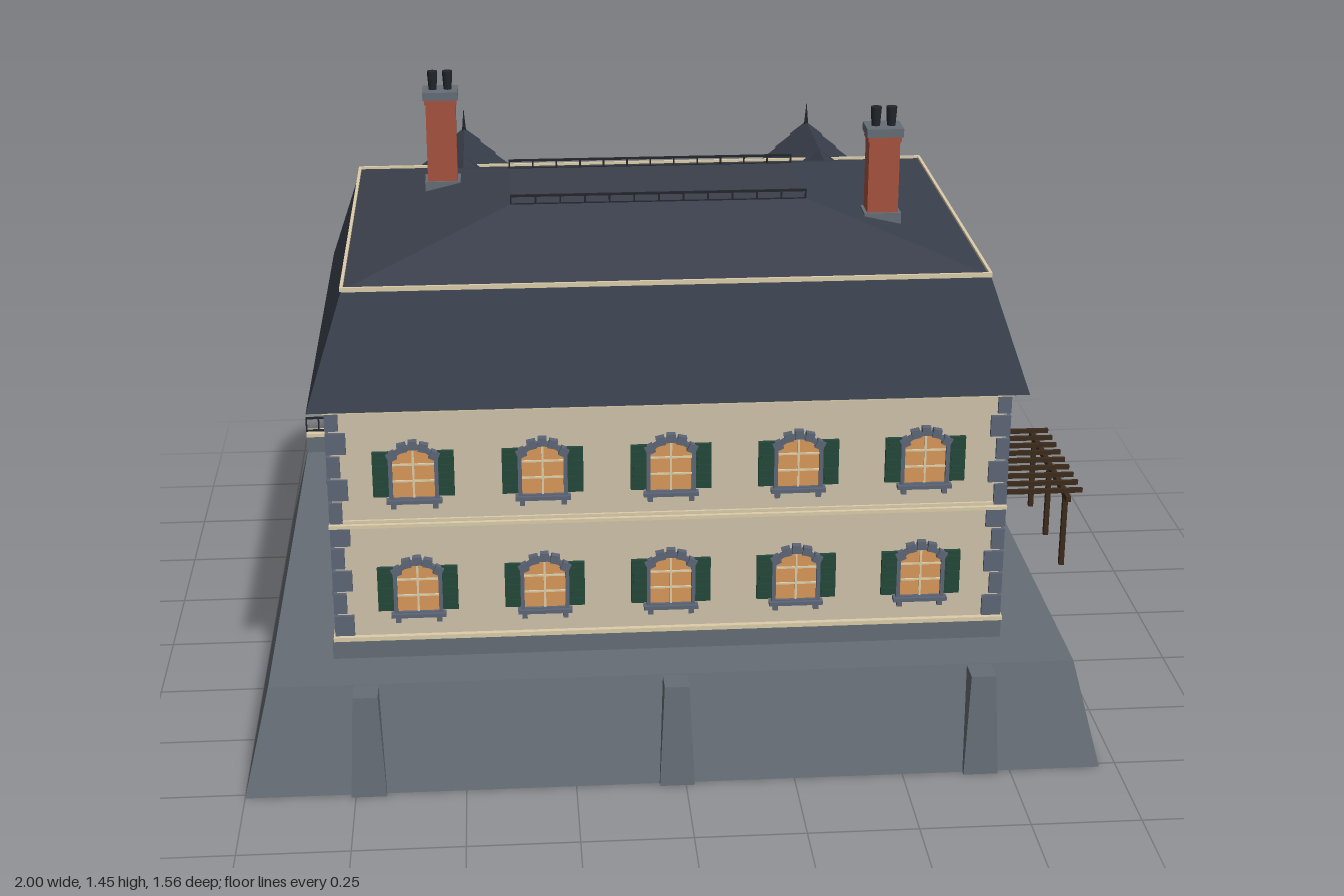
import * as THREE from 'three';

const mat = (name, color) => Object.assign(new THREE.MeshStandardMaterial({ color }), { name });
const stone = mat('stone', 0x666d75), slate = mat('slate', 0x3a404c), plaster = mat('plaster', 0xcfc2aa);
const trim = mat('cream trim', 0xdccdaa), brick = mat('brick', 0xa5523f), green = mat('shutter green', 0x24483a);
const glass = mat('lit glass', 0xd8985a), timber = mat('dark timber', 0x3c2a1c), iron = mat('iron', 0x22262b);
const quoinStone = mat('blue stone', 0x5d6577);

const CX = -0.02; // middle of the house

function add(parent, name, geometry, material, x = 0, y = 0, z = 0) {
  const m = new THREE.Mesh(geometry, material);
  m.name = name;
  m.position.set(x, y, z);
  parent.add(m);
  return m;
}
const box = (parent, name, material, w, h, d, x, y, z) =>
  add(parent, name, new THREE.BoxGeometry(w, h, d), material, x, y, z);
// box given by its limits
const span = (parent, name, material, x0, x1, y0, y1, z0, z1) =>
  box(parent, name, material, x1 - x0, y1 - y0, z1 - z0, (x0 + x1) / 2, (y0 + y1) / 2, (z0 + z1) / 2);

// solid from stacked rectangles [y, x0, x1, z0, z1]
function stacked(levels) {
  const loops = levels.map(([y, x0, x1, z0, z1]) => [[x0, y, z1], [x1, y, z1], [x1, y, z0], [x0, y, z0]]);
  const p = [];
  const quad = (a, b, c, d) => p.push(...a, ...b, ...c, ...a, ...c, ...d);
  for (let l = 0; l + 1 < loops.length; l++) {
    for (let i = 0; i < 4; i++) {
      const j = (i + 1) % 4;
      quad(loops[l][i], loops[l][j], loops[l + 1][j], loops[l + 1][i]);
    }
  }
  quad(...loops[loops.length - 1]);
  quad(...[...loops[0]].reverse());
  const g = new THREE.BufferGeometry();
  g.setAttribute('position', new THREE.Float32BufferAttribute(p, 3));
  g.computeVertexNormals();
  return g;
}
const polygon = (pts) => new THREE.Shape(pts.map(([x, y]) => new THREE.Vector2(x, y)));
const extrude = (shape, depth) => new THREE.ExtrudeGeometry(shape, { depth, bevelEnabled: false, curveSegments: 6 });

function archShape(half, bottom, spring, top) {
  const s = new THREE.Shape();
  s.moveTo(-half, bottom);
  s.lineTo(half, bottom);
  s.lineTo(half, spring);
  s.quadraticCurveTo(0, 2 * top - spring, -half, spring);
  return s;
}

// shuttered arched window on a wall; y is the bottom of the panes
function addWindow(parent, x, y, z, turn, shutters = true) {
  const g = new THREE.Group();
  g.name = 'window';
  g.position.set(x, y, z);
  g.rotation.y = turn;
  parent.add(g);
  const surround = archShape(0.056, -0.004, 0.1, 0.128);
  surround.holes.push(archShape(0.047, 0, 0.094, 0.118));
  add(g, 'surround', extrude(surround, 0.012), quoinStone);
  add(g, 'panes', extrude(archShape(0.049, -0.002, 0.096, 0.12), 0.004), glass);
  box(g, 'mullion', trim, 0.005, 0.118, 0.004, 0, 0.059, 0.006);
  for (const h of [0.04, 0.08]) box(g, 'glazingBar', trim, 0.096, 0.004, 0.004, 0, h, 0.006);
  box(g, 'sill', quoinStone, 0.125, 0.009, 0.02, 0, -0.007, 0.01);
  for (let i = -2; i <= 2; i++) {
    const v = box(g, 'archStone', quoinStone, 0.02, 0.02, 0.017, i * 0.024, 0.129 - i * i * 0.0065, 0.008);
    v.rotation.z = -i * 0.22;
  }
  for (const s of [-1, 1]) {
    box(g, 'bracket', quoinStone, 0.012, 0.015, 0.012, s * 0.047, -0.019, 0.006);
    if (!shutters) continue;
    box(g, 'shutter', green, 0.037, 0.108, 0.01, s * 0.073, 0.058, 0.006);
    for (let k = 0; k < 5; k++) box(g, 'shutterSlat', green, 0.026, 0.008, 0.003, s * 0.073, 0.02 + k * 0.019, 0.012);
  }
}

// iron railing running along x
function addRailing(parent, x0, x1, y, z, h, n) {
  for (const f of [0.15, 1]) span(parent, 'rail', iron, x0, x1, y + h * f - 0.005, y + h * f, z - 0.003, z + 0.003);
  for (let i = 0; i <= n; i++) box(parent, 'baluster', iron, 0.004, h, 0.004, x0 + (x1 - x0) * i / n, y + h / 2, z);
}

// gabled rear wing
function addWing(root, cx) {
  const g = new THREE.Group();
  g.name = 'rearWing';
  g.position.x = cx;
  root.add(g);
  add(g, 'wingWalls', extrude(polygon([[-0.28, 0.29], [0.28, 0.29], [0.28, 0.88], [0, 1.13], [-0.28, 0.88]]), 0.24), plaster, 0, 0, -0.64);
  span(g, 'wingPlinth', stone, -0.29, 0.29, 0.245, 0.29, -0.65, -0.4);
  for (const [y, h] of [[0.294, 0.01], [0.576, 0.008], [0.587, 0.006], [0.86, 0.014]])
    box(g, 'wingBand', trim, 0.574, h, 0.22, 0, y, -0.537);
  add(g, 'gableRoof', extrude(polygon([[-0.315, 0.865], [-0.29, 0.865], [0, 1.128], [0.29, 0.865], [0.315, 0.865], [0, 1.152]]), 0.4), slate, 0, 0, -0.705);
  const slope = Math.atan2(0.287, 0.315), len = Math.hypot(0.287, 0.315);
  for (const s of [-1, 1]) {
    for (let k = 0; k < 8; k++) {
      const t = (k + 0.5) / 8;
      const c = box(g, 'slateCourse', slate, len / 8, 0.006, 0.27, s * 0.315 * (1 - t), 0.865 + 0.287 * t, -0.57);
      c.rotation.z = -s * (slope - 0.08);
    }
    const barge = box(g, 'bargeBoard', timber, len - 0.02, 0.02, 0.008, s * 0.15, 0.998, -0.702);
    barge.rotation.z = -s * slope;
    const brace = box(g, 'gableBrace', timber, 0.17, 0.014, 0.012, s * 0.075, 0.93, -0.643);
    brace.rotation.z = -s * 0.65;
    for (const y of [0.36, 0.645]) addWindow(g, s * 0.15, y, -0.64, Math.PI);
  }
  box(g, 'gableTieBeam', timber, 0.56, 0.018, 0.014, 0, 0.878, -0.643);
  box(g, 'gableCollar', timber, 0.3, 0.016, 0.014, 0, 0.985, -0.643);
  box(g, 'kingPost', timber, 0.018, 0.25, 0.014, 0, 0.995, -0.643);
  add(g, 'finial', new THREE.ConeGeometry(0.007, 0.07, 6), iron, 0, 1.175, -0.695);
}

function addChimney(root, x, z, top) {
  span(root, 'chimneyFlashing', stone, x - 0.043, x + 0.043, 1.12, 1.185, z - 0.034, z + 0.034);
  span(root, 'chimneyStack', brick, x - 0.036, x + 0.036, 1.13, top - 0.02, z - 0.028, z + 0.028);
  box(root, 'chimneyCap', stone, 0.085, 0.02, 0.075, x, top - 0.012, z);
  box(root, 'chimneyCollar', brick, 0.078, 0.012, 0.065, x, top - 0.028, z);
  for (const s of [-1, 1])
    add(root, 'chimneyPot', new THREE.CylinderGeometry(0.013, 0.01, 0.045, 10), iron, x + s * 0.018, top + 0.02, z);
}

export function createModel() {
  const root = new THREE.Group();
  root.name = 'manorHouse';

  // battered base with buttresses
  add(root, 'base', stacked([[0, -1, 0.96, -0.75, 0.765], [0.245, -0.94, 0.9, -0.7, 0.7]]), stone);
  for (const [s, xs] of [[1, [-0.7, 0, 0.7]], [-1, [-0.7, 0.7]]]) for (const dx of xs) {
    const x = CX + dx, z = (a, b) => (s > 0 ? [a, b] : [-b + 0.018, -a]);
    add(root, 'buttress', stacked([[0, x - 0.04, x + 0.04, ...z(0.6, 0.778)], [0.243, x - 0.028, x + 0.028, ...z(0.6, 0.76)]]), stone);
  }

  // main walls, plinth and bands
  span(root, 'plinth', stone, -0.8, 0.755, 0.245, 0.29, -0.495, 0.572);
  span(root, 'mainWalls', plaster, -0.785, 0.745, 0.29, 0.87, -0.488, 0.562);
  for (const [y, h, o] of [[0.294, 0.01, 0.012], [0.576, 0.008, 0.01], [0.587, 0.006, 0.006], [0.86, 0.014, 0.012]])
    box(root, 'band', trim, 1.53 + 2 * o, h, 1.05 + 2 * o, CX, y, 0.037);
  for (const sx of [-1, 1]) for (const sz of [-1, 1]) for (let i = 0; i < 10; i++) {
    const w = i % 2 ? 0.03 : 0.045, d = i % 2 ? 0.045 : 0.03;
    box(root, 'quoin', quoinStone, w, 0.05, d, CX + sx * (0.773 - w / 2), 0.327 + i * 0.0565, 0.037 + sz * (0.533 - d / 2));
  }

  // windows on the front and the two sides
  for (const y of [0.36, 0.645]) {
    for (let i = -2; i <= 2; i++) addWindow(root, CX + i * 0.29, y, 0.562, 0);
    for (let i = -1; i <= 1; i++) for (const s of [-1, 1])
      addWindow(root, CX + s * 0.765, y, 0.037 + i * 0.35, s * Math.PI / 2);
  }

  // mansard roof with ridge cresting
  add(root, 'mansardRoof', stacked([[0.865, -0.83, 0.787, -0.53, 0.597], [1.12, -0.745, 0.703, -0.442, 0.508], [1.21, -0.365, 0.325, -0.115, 0.18]]), slate);
  for (const z of [-0.442, 0.508]) box(root, 'roofEdge', trim, 1.45, 0.01, 0.007, CX, 1.122, z);
  for (const x of [-0.745, 0.703]) box(root, 'roofEdge', trim, 0.007, 0.01, 0.95, x, 1.122, 0.033);
  for (const z of [-0.115, 0.18]) addRailing(root, -0.365, 0.325, 1.207, z, 0.025, 12);
  addChimney(root, -0.527, -0.13, 1.41);
  addChimney(root, 0.5, 0.2, 1.39);

  for (const s of [-1, 1]) addWing(root, CX + s * 0.46);

  // porch between the wings
  span(root, 'porchFloor', stone, -0.19, 0.15, 0.245, 0.295, -0.67, -0.48);
  add(root, 'door', extrude(archShape(0.05, 0, 0.16, 0.185), 0.006), timber, CX, 0.295, -0.495);
  add(root, 'doorGlass', extrude(archShape(0.036, 0.06, 0.15, 0.17), 0.006), glass, CX, 0.295, -0.499);
  for (const s of [-1, 1]) {
    box(root, 'doorJamb', quoinStone, 0.014, 0.17, 0.016, CX + s * 0.058, 0.38, -0.492);
    box(root, 'sideLight', glass, 0.045, 0.11, 0.008, CX + s * 0.105, 0.42, -0.49);
  }
  addWindow(root, CX, 0.645, -0.488, Math.PI);
  span(root, 'balconySlab', trim, -0.19, 0.15, 0.52, 0.545, -0.655, -0.48);
  span(root, 'balconyEdge', trim, -0.29, 0.25, 0.525, 0.545, -0.662, -0.635);
  addRailing(root, -0.29, 0.25, 0.545, -0.655, 0.062, 24);
  for (const s of [-1, 1]) {
    add(root, 'column', new THREE.CylinderGeometry(0.013, 0.016, 0.2, 12), stone, CX + s * 0.11, 0.41, -0.62);
    for (const y of [0.303, 0.512]) box(root, 'columnBlock', stone, 0.042, 0.018, 0.042, CX + s * 0.11, y, -0.62);
  }

  // entrance steps with cheek walls
  for (let i = 0; i < 3; i++)
    span(root, 'step', stone, -0.15, 0.11, 0.245, 0.262 + i * 0.016, -0.775 + i * 0.034, -0.66);
  for (const s of [-1, 1]) {
    box(root, 'stepCheek', stone, 0.022, 0.07, 0.09, CX + s * 0.14, 0.28, -0.733);
    // gate piers with lanterns
    const x = CX + s * 0.17;
    box(root, 'gatePier', stone, 0.045, 0.16, 0.042, x, 0.325, -0.668);
    box(root, 'pierCap', stone, 0.056, 0.012, 0.052, x, 0.408, -0.668);
    box(root, 'lantern', glass, 0.02, 0.024, 0.02, x, 0.426, -0.668);
    const roof = add(root, 'lanternRoof', new THREE.ConeGeometry(0.02, 0.018, 4), iron, x, 0.446, -0.668);
    roof.rotation.y = Math.PI / 4;
    // rear parapet with coping and railing
    const [a, b] = s < 0 ? [-0.94, -0.2] : [0.16, 0.9];
    span(root, 'parapet', stone, a, b, 0.245, 0.295, -0.683, -0.655);
    span(root, 'parapetCoping', trim, a, b, 0.292, 0.302, -0.69, -0.65);
    addRailing(root, a, b, 0.3, -0.67, 0.044, 22);
  }

  // side pergola
  for (const x of [0.8, 0.96]) {
    box(root, 'pergolaBeam', timber, 0.012, 0.014, 0.42, x, 0.483, 0.122);
    for (const z of [-0.05, 0.125, 0.298]) box(root, 'pergolaPost', timber, 0.012, 0.19, 0.012, x, 0.39, z);
  }
  for (let i = 0; i < 9; i++) box(root, 'pergolaSlat', timber, 0.2, 0.011, 0.009, 0.9, 0.494, -0.075 + i * 0.047);

  return root;
}
